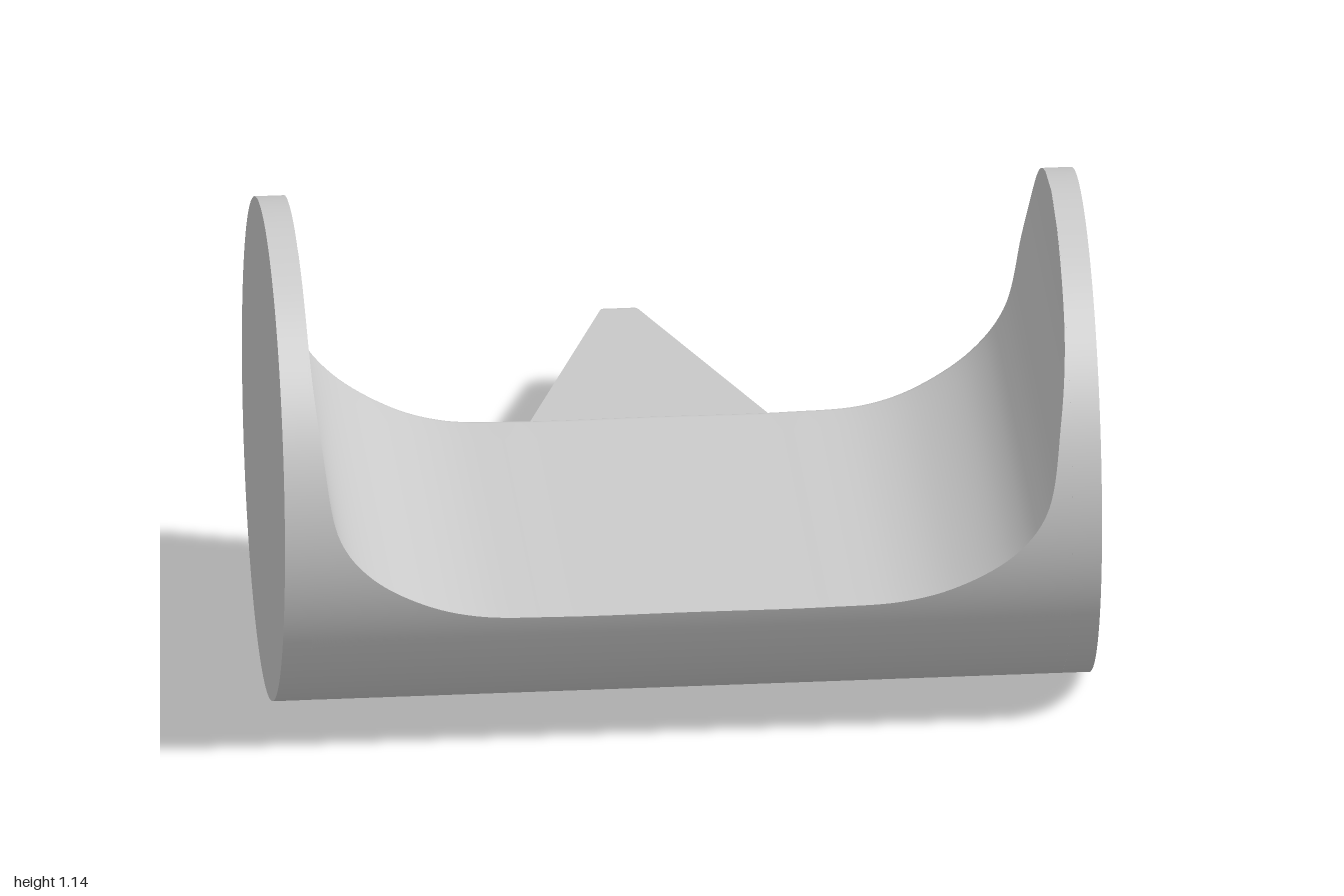
import * as THREE from 'three';

const R = 0.57, ZC = 0.43, HALF = 0.925, INNER = 0.859;
const material = new THREE.MeshStandardMaterial({ color: 0xcccccc });
const openMaterial = new THREE.MeshStandardMaterial({ color: 0xcccccc, side: THREE.DoubleSide });

function addMesh(group, name, geometry, mat = material) {
  const mesh = new THREE.Mesh(geometry, mat);
  mesh.name = name;
  group.add(mesh);
  return mesh;
}

// Smooth surface through rows of points of equal length
function gridGeometry(rows) {
  const n = rows[0].length, index = [];
  for (let i = 0; i < rows.length - 1; i++) {
    for (let j = 0; j < n - 1; j++) {
      const a = i * n + j, b = a + n;
      index.push(a, b, a + 1, b, b + 1, a + 1);
    }
  }
  const g = new THREE.BufferGeometry();
  g.setAttribute('position', new THREE.Float32BufferAttribute(rows.flat(2), 3));
  g.setIndex(index);
  g.computeVertexNormals();
  return g;
}

// Scooped height along x, from the middle out to the end disc
const profile = new THREE.CatmullRomCurve3([
  [0, 0.375], [0.3, 0.375], [0.48, 0.384], [0.6, 0.42], [0.727, 0.5], [0.8, 0.6],
  [0.836, 0.8], [0.853, 0.95], [INNER, 2 * R],
].map(([x, y]) => new THREE.Vector3(x, y, 0)), false, 'centripetal');

const TOP = 12, ROUND = 6, ARC = 80;

// Section of the scooped cylinder: top line, rounded rear edge, arc round the bottom
function section(x, h) {
  const a = Math.asin(Math.min(1, (h - R) / R));
  const w = R * Math.cos(a);
  const f = 0.03 * THREE.MathUtils.clamp((1.1 - h) / 0.4, 0, 1);
  const start = Math.PI - a + f / R;
  const from = [h, ZC - w + f], to = [R + R * Math.sin(start), ZC + R * Math.cos(start)];
  const row = [];
  for (let j = 0; j <= TOP; j++) row.push([x, h, ZC + w + (from[1] - ZC - w) * j / TOP]);
  for (let j = 1; j < ROUND; j++) {
    const t = j / ROUND, u = 1 - t;
    row.push([x, u * u * from[0] + 2 * u * t * h + t * t * to[0],
      u * u * from[1] + 2 * u * t * (ZC - w) + t * t * to[1]]);
  }
  for (let j = 0; j <= ARC; j++) {
    const t = start + (2 * Math.PI + a - start) * j / ARC;
    row.push([x, R + R * Math.sin(t), ZC + R * Math.cos(t)]);
  }
  return row;
}

function scoopGeometry() {
  const half = profile.getSpacedPoints(70);
  const stations = [...half.slice(1).reverse().map(p => [-p.x, p.y]), ...half.map(p => [p.x, p.y])];
  const g = gridGeometry(stations.map(([x, h]) => section(x, h)));
  // Exact radial normals on the round outside
  const p = g.attributes.position, n = TOP + ROUND + ARC + 1;
  for (let i = 0; i < p.count; i++) {
    if (i % n >= TOP + ROUND) {
      g.attributes.normal.setXYZ(i, 0, (p.getY(i) - R) / R, (p.getZ(i) - ZC) / R);
    }
  }
  return g;
}

// Tapered spike lofted from rectangles: [z, half width, bottom, top]
function spikeGeometry() {
  const rings = [
    [0.25, 0.28, 0.055, 0.335], [-0.14, 0.28, 0.055, 0.335], [-0.97, 0.043, 0.158, 0.232],
    [-0.985, 0.038, 0.162, 0.228], [-0.996, 0.03, 0.17, 0.22], [-1, 0.02, 0.178, 0.212],
  ].map(([z, w, b, t]) => [[w, b, z], [w, t, z], [-w, t, z], [-w, b, z]]);
  const pos = [];
  const quad = (a, b, c, d) => pos.push(...a, ...b, ...c, ...a, ...c, ...d);
  for (let i = 0; i < rings.length - 1; i++) {
    for (let k = 0; k < 4; k++) {
      const m = (k + 1) % 4;
      quad(rings[i][k], rings[i + 1][k], rings[i + 1][m], rings[i][m]);
    }
  }
  const [a, b, c, d] = rings[rings.length - 1];
  quad(a, d, c, b);
  const g = new THREE.BufferGeometry();
  g.setAttribute('position', new THREE.Float32BufferAttribute(pos, 3));
  g.computeVertexNormals();
  return g;
}

// Concave fillet between one spike side and the cylinder
function filletGeometry(side) {
  const rows = [];
  for (let i = 0; i <= 16; i++) {
    const y = 0.055 + 0.28 * i / 16;
    const z = ZC - Math.sqrt(R * R - (R - y) ** 2);
    const row = [];
    for (let j = 0; j <= 6; j++) {
      const t = j / 6;
      row.push([side * (0.279 + 0.028 * t * t), y, z + 0.003 - 0.045 * (1 - t) ** 2]);
    }
    rows.push(side > 0 ? row : row.reverse());
  }
  return gridGeometry(rows);
}

export function createModel() {
  const model = new THREE.Group();
  model.name = 'scoopedCylinderWithSpike';

  addMesh(model, 'scoopedBody', scoopGeometry());

  // End discs
  for (const side of [1, -1]) {
    const disc = addMesh(model, side > 0 ? 'leftEndDisc' : 'rightEndDisc',
      new THREE.CylinderGeometry(R, R, HALF - INNER, 128));
    disc.rotation.z = Math.PI / 2;
    disc.position.set(side * (HALF + INNER) / 2, R, ZC);
  }

  // Rear spike with its fillets
  addMesh(model, 'rearSpike', spikeGeometry());
  for (const side of [1, -1]) {
    addMesh(model, side > 0 ? 'leftSpikeFillet' : 'rightSpikeFillet', filletGeometry(side), openMaterial);
  }
  return model;
}
